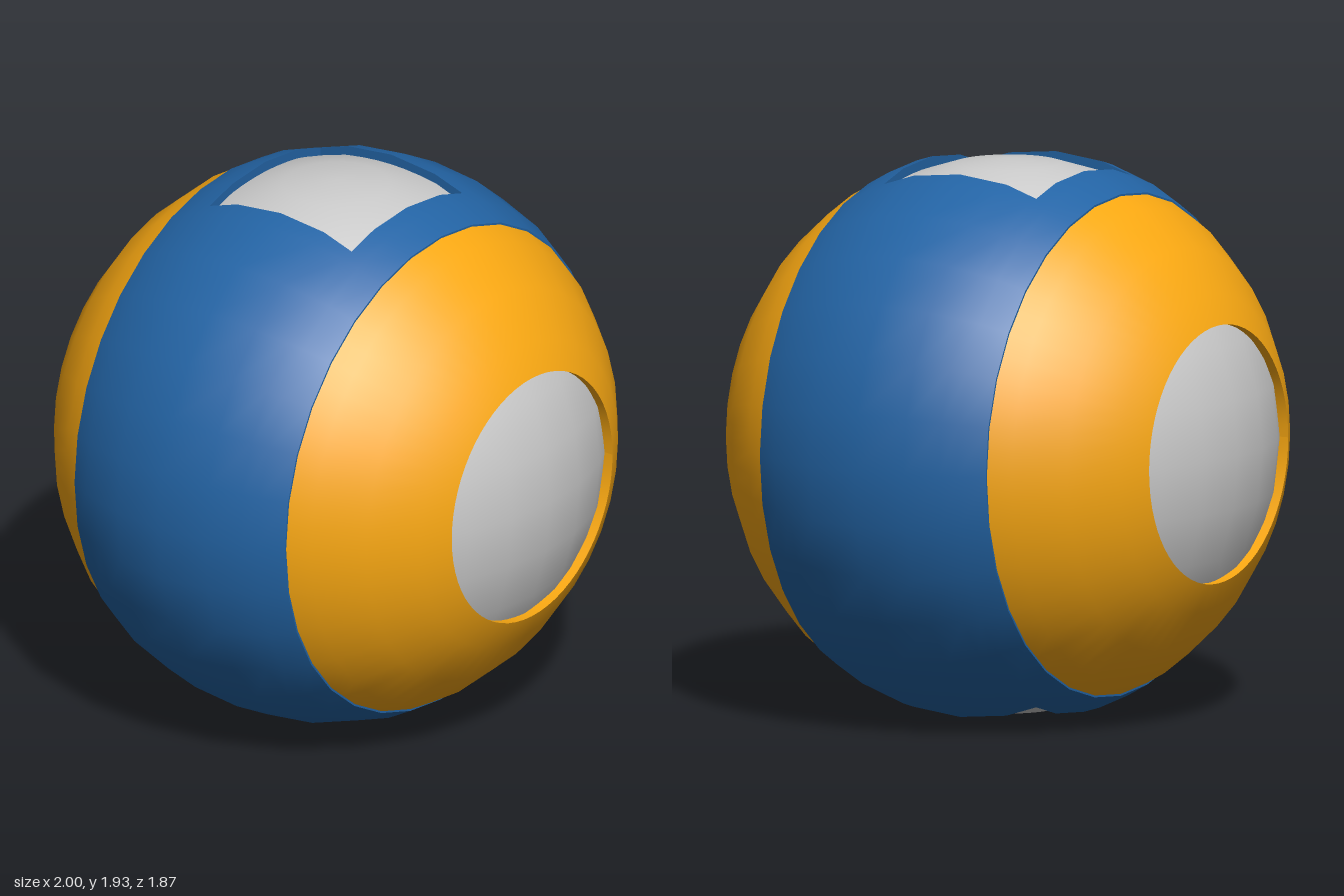
import * as THREE from 'three';

const C = 0.97;              // depth squash along z
const CORE_R = 0.965;        // core radius, also the height of the centre
const SHELL_R = 0.994;       // radius of the orange caps
const BAND_Z = 0.46;         // half width of the blue band
const SQ = 0.31;             // half side of the square windows
const HOLE_R = 0.45;         // radius of the round windows
const STEP = Math.PI / 16;   // 32 facets around

// radius of the faceted unit profile at height z
function profile(z) {
  const s = Math.abs(z) / C;
  const k = Math.floor(Math.asin(s) / STEP + 1e-6);
  const a = k * STEP, b = a + STEP;
  const t = (s - Math.sin(a)) / (Math.sin(b) - Math.sin(a));
  return Math.cos(a) + t * (Math.cos(b) - Math.cos(a));
}

// 32-sided ring point
function ringPoint(r, a, z) {
  const local = a - Math.floor(a / STEP + 1e-6) * STEP;
  const f = Math.cos(STEP / 2) / Math.cos(local - STEP / 2);
  return new THREE.Vector3(r * f * Math.cos(a), r * f * Math.sin(a), z);
}

// surface through rows of points; smooth gives rounded ball normals
function patch(rows, smooth) {
  const n = rows[0].length, pos = [], nor = [], idx = [];
  for (const p of rows.flat()) {
    pos.push(p.x, p.y, p.z);
    const v = new THREE.Vector3(p.x, p.y, p.z / (C * C)).normalize();
    nor.push(v.x, v.y, v.z);
  }
  for (let i = 0; i < rows.length - 1; i++) {
    for (let j = 0; j < n - 1; j++) {
      const a = i * n + j, b = a + 1, c = a + n, d = c + 1;
      idx.push(a, b, c, b, d, c);
    }
  }
  const g = new THREE.BufferGeometry();
  g.setAttribute('position', new THREE.Float32BufferAttribute(pos, 3));
  g.setIndex(idx);
  if (smooth) g.setAttribute('normal', new THREE.Float32BufferAttribute(nor, 3));
  else g.computeVertexNormals();
  return g;
}

// angle at which the ring at height z meets the window side x = SQ
function windowAngle(z) {
  const mid = 6.5 * STEP;
  const k = profile(z) * Math.cos(STEP / 2) / SQ;
  return Math.atan((k - Math.cos(mid)) / Math.sin(mid));
}

export function createModel() {
  const model = new THREE.Group();
  model.name = 'layeredBall';
  const ball = new THREE.Group();
  ball.name = 'ball';
  ball.position.y = CORE_R;
  model.add(ball);

  const paint = (color) => new THREE.MeshStandardMaterial({ color, side: THREE.DoubleSide });
  const grey = paint(0xcccccc), orange = paint(0xf9a812), blue = paint(0x2364a5);
  const add = (parent, name, geo, mat) => {
    const m = new THREE.Mesh(geo, mat);
    m.name = name;
    parent.add(m);
    return m;
  };

  // grey core seen through the windows
  const core = add(ball, 'core', new THREE.SphereGeometry(CORE_R, 32, 16), grey);
  core.scale.z = C;

  // orange caps with a round window, front and back
  const angles64 = Array.from({ length: 65 }, (_, j) => j * STEP / 2);
  const holeZ = C * Math.sqrt(1 - (HOLE_R / SHELL_R) ** 2) * SHELL_R - 0.002;
  const capRows = [0.4, BAND_Z];
  for (let k = 3; k < 6; k++) capRows.push(C * SHELL_R * Math.sin(k * STEP));
  const shell = capRows.map(z => angles64.map(a => ringPoint(SHELL_R * profile(z / SHELL_R), a, z)));
  const circle = z => angles64.map(a => new THREE.Vector3(HOLE_R * Math.cos(a), HOLE_R * Math.sin(a), z));
  shell.push(circle(holeZ));
  const shellGeo = patch(shell, true);
  const shellWall = patch([circle(holeZ), circle(0.8)], false);
  for (const [name, turn] of [['frontCap', 0], ['backCap', Math.PI]]) {
    const cap = new THREE.Group();
    cap.name = name;
    cap.rotation.y = turn;
    ball.add(cap);
    add(cap, 'capShell', shellGeo, orange);
    add(cap, 'roundWindowWall', shellWall, orange);
  }

  // blue band, built as a half that repeats turned half way round
  const half = [0, C * Math.sin(STEP), SQ, C * Math.sin(2 * STEP), BAND_Z];
  const zs = [...half.slice(1).reverse().map(z => -z), ...half];
  const sideRow = z => {
    const t = windowAngle(z), row = [-t];
    for (let j = -6; j <= 6; j++) row.push(j * STEP);
    return [...row, t].map(a => ringPoint(profile(z), a, z));
  };
  const topRow = z => {
    const t = windowAngle(z);
    return [t, 7 * STEP, 8 * STEP, 9 * STEP, Math.PI - t].map(a => ringPoint(profile(z), a, z));
  };
  const lower = row => row.map(p => new THREE.Vector3(p.x, 0.84, p.z));
  const windowZs = zs.filter(z => Math.abs(z) <= SQ);
  const sideGeo = patch(zs.map(sideRow), true);

  for (const [name, turn] of [['upperBand', 0], ['lowerBand', Math.PI]]) {
    const band = new THREE.Group();
    band.name = name;
    band.rotation.z = turn;
    ball.add(band);
    add(band, 'bandSide', sideGeo, blue);
    for (const s of [-1, 1]) {
      // strips before and behind the square window
      const strip = zs.filter(z => z * s >= SQ);
      add(band, 'bandStrip', patch(strip.map(topRow), true), blue);
      // walls of the square window
      const edge = topRow(s * SQ);
      add(band, 'squareWindowEnd', patch([edge, lower(edge)], false), blue);
      const flank = windowZs.map(z => {
        const p = topRow(z)[0];
        return new THREE.Vector3(s * SQ, p.y, z);
      });
      add(band, 'squareWindowFlank', patch([flank, lower(flank)], false), blue);
    }
  }

  // thin rims where the band steps down to the caps
  for (const s of [-1, 1]) {
    const rim = r => angles64.map(a => ringPoint(r, a, s * BAND_Z));
    add(ball, 'bandRim', patch([rim(profile(BAND_Z)), rim(0.84)], false), blue);
  }
  return model;
}
